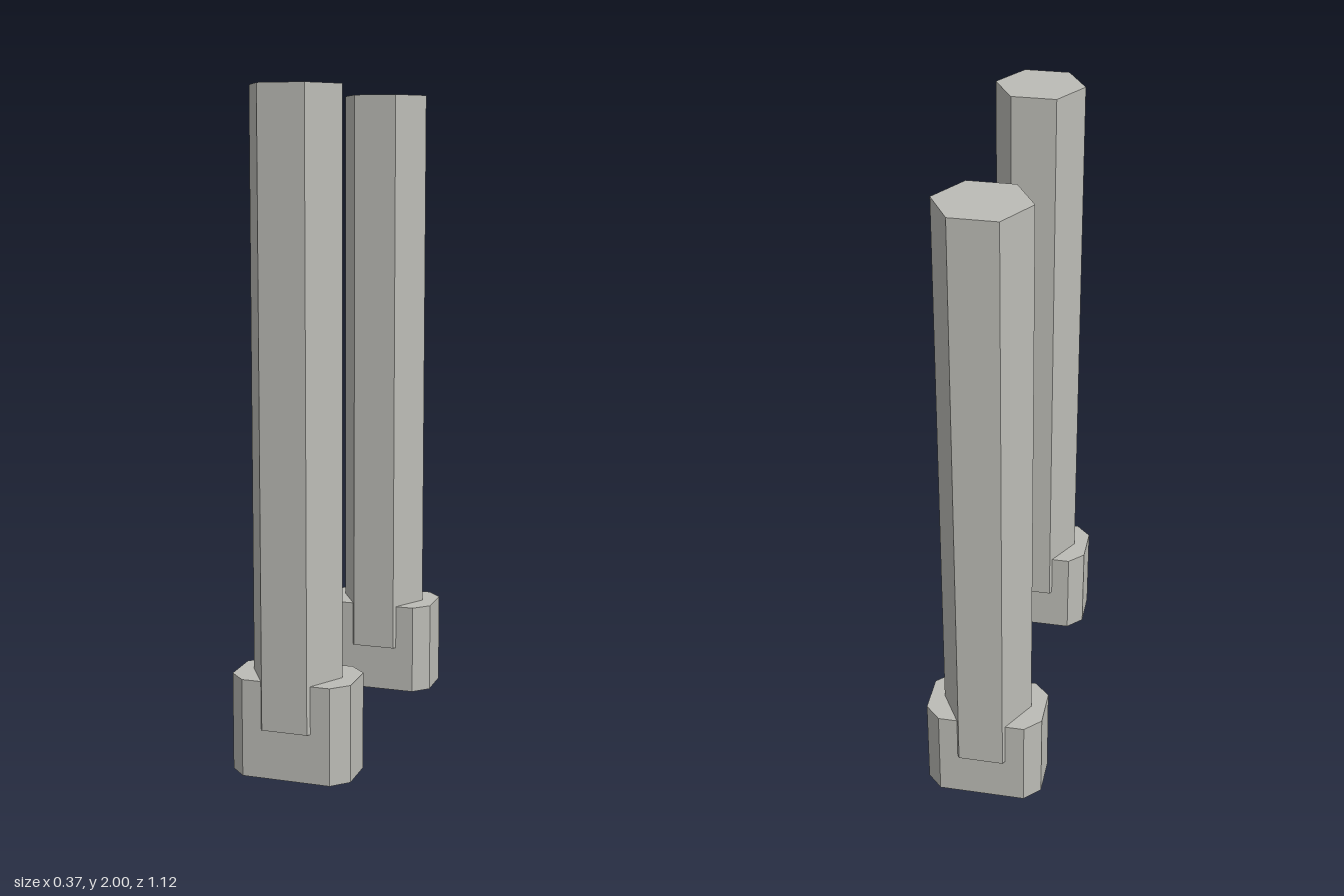
import * as THREE from 'three';

// Upright prism with flat sides from an outline of [x, z] points
function prism(points, y0, y1, material, name) {
  const shape = new THREE.Shape(points.map(([x, z]) => new THREE.Vector2(x, z)));
  const geometry = new THREE.ExtrudeGeometry(shape, { depth: y1 - y0, bevelEnabled: false });
  geometry.rotateX(-Math.PI / 2).translate(0, y0, 0);
  const mesh = new THREE.Mesh(geometry, material);
  mesh.name = name;
  return mesh;
}

export function createModel() {
  const model = new THREE.Group();
  model.name = 'postPair';
  const stone = new THREE.MeshStandardMaterial({ color: 0xbcbcb6 });
  stone.name = 'paleStone';

  // Hexagonal shaft outline, corners pointing along x
  const hexagon = Array.from({ length: 6 }, (_, i) => {
    const a = (i * Math.PI) / 3;
    return [0.139 * Math.cos(a), 0.139 * Math.sin(a)];
  });

  // Rectangular foot outline with cut corners
  const w = 0.183, d = 0.109, c = 0.048;
  const foot = [
    [w, -d + c], [w, d - c], [w - c, d], [-w + c, d],
    [-w, d - c], [-w, -d + c], [-w + c, -d], [w - c, -d],
  ];

  // Two matching posts, front and back
  for (const side of [1, -1]) {
    const post = new THREE.Group();
    post.name = side > 0 ? 'frontPost' : 'backPost';
    post.add(prism(hexagon, 0.15, 2, stone, 'shaft'));
    post.add(prism(foot, 0, 0.294, stone, 'foot'));
    post.position.z = side * 0.439;
    model.add(post);
  }
  return model;
}
